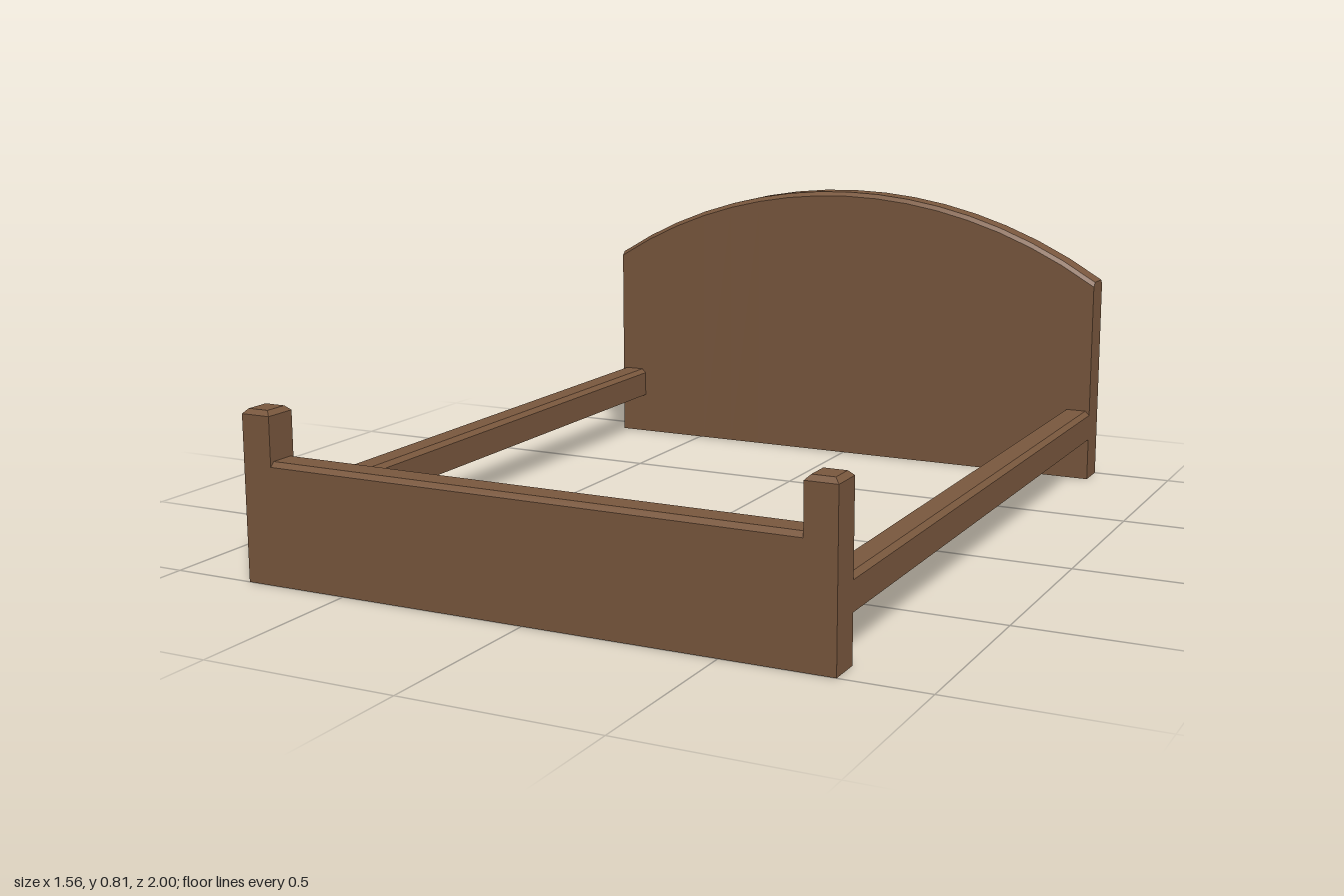
import * as THREE from 'three';
import { toCreasedNormals } from 'three/addons/utils/BufferGeometryUtils.js';

const HALF_W = 0.78, THICK = 0.088, BEVEL = 0.012;

// Block standing on y = 0 whose top edges are chamfered by insetX / insetZ.
// topAt(x) gives the height of the top, so it may be curved.
function chamferedBlock(width, depth, topAt, insetX, insetZ, segments = 1) {
  const geometry = new THREE.BoxGeometry(width, 2, depth, segments, 2, 1);
  const p = geometry.attributes.position;
  for (let i = 0; i < p.count; i++) {
    const x = p.getX(i), y = p.getY(i), z = p.getZ(i);
    if (y < -0.5) p.setY(i, 0);
    else if (y < 0.5) p.setY(i, topAt(x) - BEVEL);
    else {
      p.setY(i, topAt(x));
      if (Math.abs(x) > width / 2 - 1e-4) p.setX(i, x - Math.sign(x) * insetX);
      p.setZ(i, z - Math.sign(z) * insetZ);
    }
  }
  return toCreasedNormals(geometry, 0.5);
}

export function createModel() {
  const bed = new THREE.Group();
  bed.name = 'bedFrame';
  const wood = new THREE.MeshStandardMaterial({ color: 0x7a583e });
  wood.name = 'brown wood';

  const add = (name, geometry, x, y, z) => {
    const mesh = new THREE.Mesh(geometry, wood);
    mesh.name = name;
    mesh.position.set(x, y, z);
    bed.add(mesh);
  };
  const endZ = 1 - THICK / 2;

  // Headboard with a circular arch along its top
  const rise = 0.228, peak = 0.815;
  const radius = (HALF_W ** 2 + rise ** 2) / (2 * rise);
  const arch = (x) => peak - radius + Math.sqrt(radius ** 2 - x ** 2);
  add('headboard', chamferedBlock(HALF_W * 2, THICK, arch, 0, BEVEL, 16), 0, 0, -endZ);

  // Low footboard panel between the posts
  const postW = 0.08;
  add('footboardPanel', chamferedBlock((HALF_W - postW) * 2, THICK, () => 0.31, 0, BEVEL), 0, 0, endZ);

  // Foot posts and side rails, mirrored
  const post = chamferedBlock(postW, THICK, () => 0.435, BEVEL, BEVEL);
  const rail = chamferedBlock(postW, 2 - THICK * 2, () => 0.085, BEVEL, 0);
  for (const [side, s] of [['left', 1], ['right', -1]]) {
    const x = s * (HALF_W - postW / 2);
    add(side + 'FootPost', post, x, 0, endZ);
    add(side + 'SideRail', rail, x, 0.12, 0);
  }
  return bed;
}
